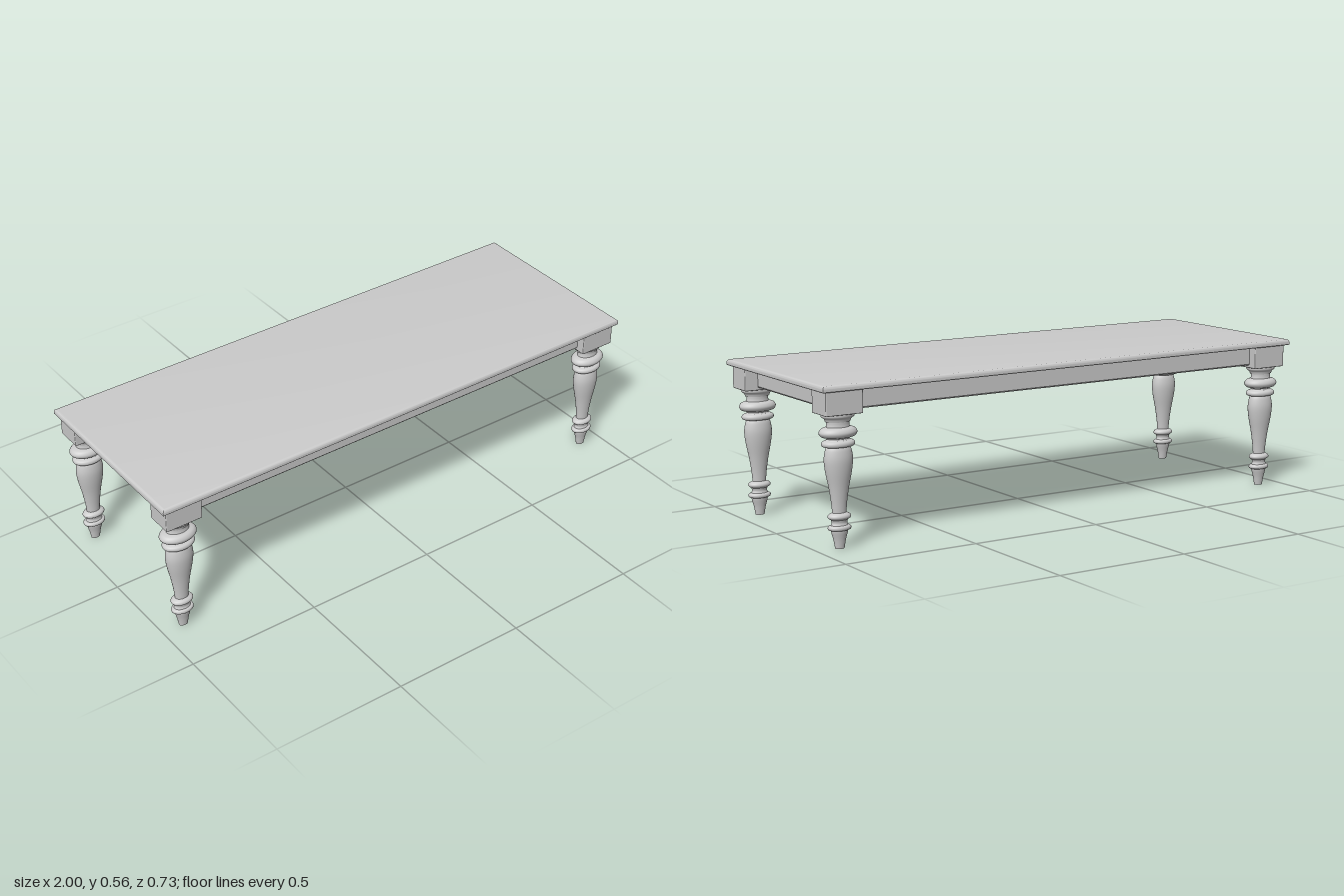
import * as THREE from 'three';
import { toCreasedNormals } from 'three/addons/utils/BufferGeometryUtils.js';
import { RoundedBoxGeometry } from 'three/addons/geometries/RoundedBoxGeometry.js';

const material = new THREE.MeshStandardMaterial({ color: 0xcccccc });
const STRETCH = 1.4; // legs are wider along x than along z
const LEG_X = 0.914, LEG_Z = 0.301;

function add(parent, name, geometry, x = 0, y = 0, z = 0) {
  const mesh = new THREE.Mesh(geometry, material);
  mesh.name = name;
  mesh.position.set(x, y, z);
  parent.add(mesh);
  return mesh;
}

// Capped rectangular solid lofted along y; rings are [inset, y] from bottom to top.
function loftedBox(width, depth, rings) {
  const positions = [], index = [];
  for (const [inset, y] of rings) {
    const a = width / 2 - inset, b = depth / 2 - inset;
    positions.push(-a, y, b, a, y, b, a, y, -b, -a, y, -b);
  }
  for (let r = 0; r < rings.length - 1; r++) {
    for (let i = 0; i < 4; i++) {
      const p = r * 4 + i, q = r * 4 + (i + 1) % 4;
      index.push(p, q, q + 4, p, q + 4, p + 4);
    }
  }
  const t = (rings.length - 1) * 4;
  index.push(0, 2, 1, 0, 3, 2, t, t + 1, t + 2, t, t + 2, t + 3);
  const geometry = new THREE.BufferGeometry();
  geometry.setAttribute('position', new THREE.Float32BufferAttribute(positions, 3));
  geometry.setIndex(index);
  return toCreasedNormals(geometry, 0.6);
}

// Turned section: a smooth curve through [radius, y] points.
function turned(points, steps = 24) {
  const v = points.map(([r, y]) => new THREE.Vector2(r, y));
  const profile = v.length > 2 ? new THREE.SplineCurve(v).getPoints(steps) : v;
  return new THREE.LatheGeometry(profile, 40);
}

const LEG_SECTIONS = {
  footBase: [[0, 0], [0.012, 0]],
  foot: [[0.012, 0], [0.016, 0.03], [0.021, 0.055], [0.022, 0.063]],
  lowerRing: [[0.022, 0.063], [0.028, 0.066], [0.03, 0.072], [0.028, 0.078], [0.022, 0.081]],
  lowerNeck: [[0.022, 0.081], [0.02, 0.09], [0.022, 0.1]],
  lowerBead: [[0.022, 0.1], [0.028, 0.105], [0.03, 0.111], [0.027, 0.118], [0.018, 0.124]],
  shaft: [[0.018, 0.124], [0.0205, 0.16], [0.026, 0.21], [0.034, 0.265], [0.037, 0.305], [0.034, 0.335], [0.03, 0.348]],
  upperRing: [[0.03, 0.348], [0.04, 0.351], [0.043, 0.359], [0.04, 0.367], [0.031, 0.372]],
  upperNeck: [[0.031, 0.372], [0.029, 0.376], [0.031, 0.38]],
  ball: [[0.031, 0.38], [0.043, 0.384], [0.049, 0.397], [0.043, 0.41], [0.03, 0.416]],
  collar: [[0.03, 0.416], [0.029, 0.425], [0.029, 0.434]],
  collarStep: [[0.029, 0.434], [0.032, 0.434]],
  flare: [[0.032, 0.434], [0.035, 0.444], [0.042, 0.451], [0.043, 0.461]],
};

function createLeg() {
  const leg = new THREE.Group();
  for (const [name, points] of Object.entries(LEG_SECTIONS)) add(leg, name, turned(points));
  add(leg, 'cornerBlock', new RoundedBoxGeometry(0.1, 0.083, 0.1, 2, 0.003), 0, 0.5025, 0);
  leg.scale.x = STRETCH;
  return leg;
}

export function createModel() {
  const table = new THREE.Group();
  table.name = 'diningTable';

  // Table top with rounded upper edge
  const rings = [[0.002, 0.543], [0, 0.545]];
  const radius = 0.011, topY = 0.565;
  for (let i = 0; i <= 6; i++) {
    const a = (i / 6) * Math.PI / 2;
    rings.push([radius * (1 - Math.cos(a)), topY - radius * (1 - Math.sin(a))]);
  }
  add(table, 'tableTop', loftedBox(2, 0.728, rings));

  // Four turned legs with corner blocks
  for (const sx of [1, -1]) {
    for (const sz of [1, -1]) {
      const leg = createLeg();
      leg.name = (sz > 0 ? 'front' : 'back') + (sx > 0 ? 'Left' : 'Right') + 'Leg';
      leg.position.set(sx * LEG_X, 0, sz * LEG_Z);
      table.add(leg);
    }
  }

  // Apron boards with bevelled faces
  const board = (length, t) => loftedBox(length, 0.072,
    [[0.005, -t / 2], [0, -t / 2 + 0.004], [0, t / 2 - 0.004], [0.005, t / 2]]).rotateX(Math.PI / 2);
  for (const s of [1, -1]) {
    add(table, s > 0 ? 'frontApron' : 'backApron', board(1.72, 0.032), 0, 0.507, s * LEG_Z);
    add(table, s > 0 ? 'leftApron' : 'rightApron', board(0.504, 0.045), s * LEG_X, 0.507, 0)
      .rotation.y = Math.PI / 2;
  }
  return table;
}
